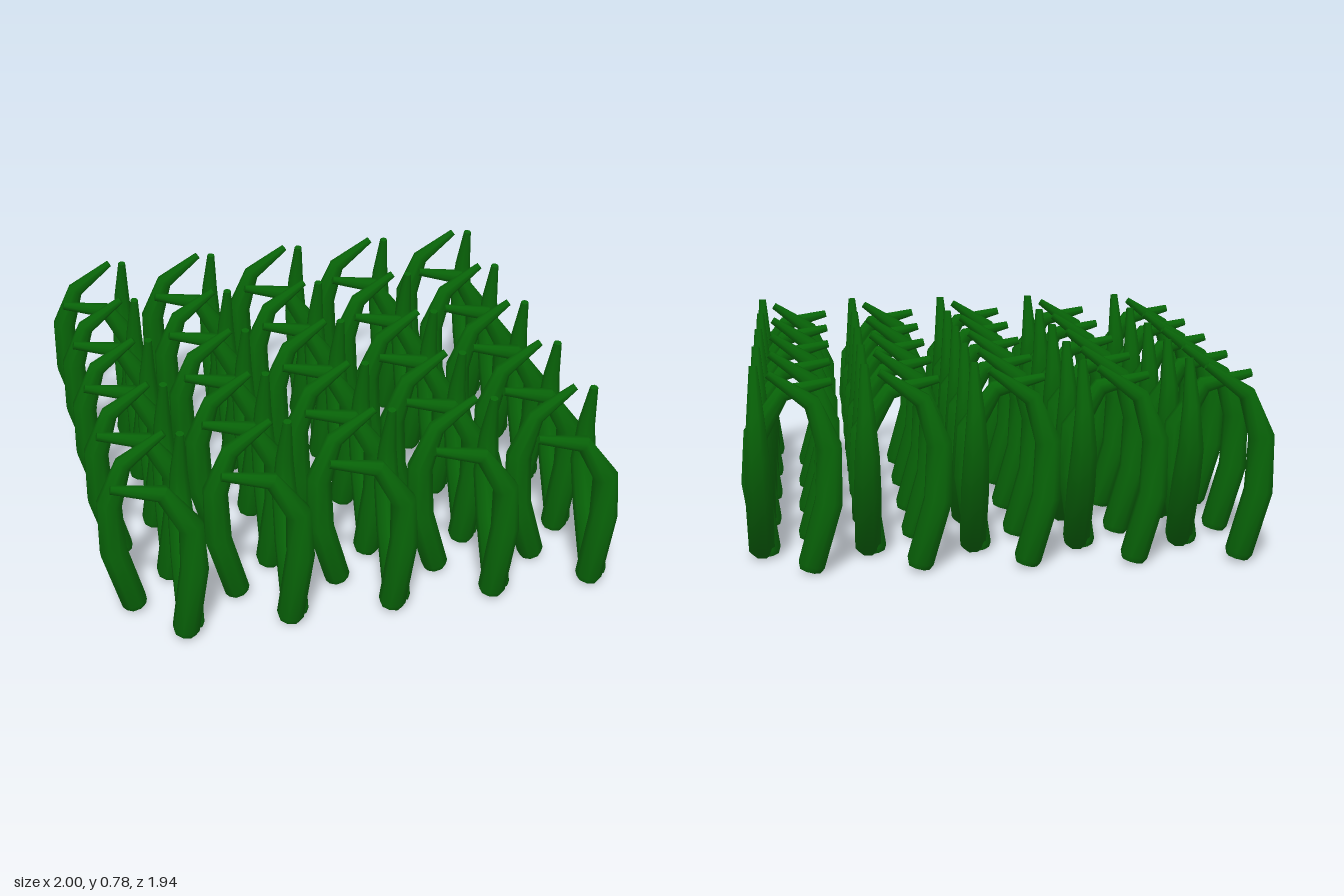
import * as THREE from 'three';
import { toCreasedNormals } from 'three/addons/utils/BufferGeometryUtils.js';

const SIDES = 8;

// Tapered blade swept along a bent path; each station is [x, y, z, radius].
// `across` is the fixed axis perpendicular to the plane of the bend.
function bladeGeometry(stations, across) {
  const pts = stations.map(([x, y, z]) => new THREE.Vector3(x, y, z));
  const last = pts.length - 1;
  const pos = [], index = [];
  pts.forEach((p, i) => {
    const tangent = new THREE.Vector3();
    if (i > 0) tangent.add(p.clone().sub(pts[i - 1]).normalize());
    if (i < last) tangent.add(pts[i + 1].clone().sub(p).normalize());
    tangent.normalize();
    const side = new THREE.Vector3().crossVectors(across, tangent);
    for (let k = 0; k < SIDES; k++) {
      const a = ((k + 0.5) / SIDES) * Math.PI * 2;
      const r = stations[i][3];
      const v = p.clone()
        .addScaledVector(side, Math.cos(a) * r)
        .addScaledVector(across, Math.sin(a) * r);
      pos.push(v.x, v.y, v.z);
    }
  });
  // Outer skin
  for (let i = 0; i < last; i++) {
    for (let k = 0; k < SIDES; k++) {
      const n = (k + 1) % SIDES;
      const a = i * SIDES + k, b = i * SIDES + n;
      index.push(a, b, b + SIDES, a, b + SIDES, a + SIDES);
    }
  }
  // End caps
  const base = pos.length / 3;
  pos.push(...pts[0].toArray(), ...pts[last].toArray());
  for (let k = 0; k < SIDES; k++) {
    const n = (k + 1) % SIDES;
    index.push(base, n, k);
    index.push(base + 1, last * SIDES + k, last * SIDES + n);
  }
  const g = new THREE.BufferGeometry();
  g.setAttribute('position', new THREE.Float32BufferAttribute(pos, 3));
  g.setIndex(index);
  return toCreasedNormals(g, 1.0);
}

export function createModel() {
  const green = new THREE.MeshStandardMaterial({ color: 0x086408 });
  const X = new THREE.Vector3(1, 0, 0);
  const Z = new THREE.Vector3(0, 0, 1);

  // Three blades of one clump, bending right, left and forward
  const blades = {
    backBlade: bladeGeometry([
      [-0.062, 0.02, -0.115, 0.042], [-0.068, 0.042, -0.115, 0.053],
      [-0.136, 0.28, -0.115, 0.055], [-0.141, 0.49, -0.115, 0.05],
      [-0.08, 0.655, -0.115, 0.034], [0.078, 0.765, -0.12, 0.015],
    ], Z),
    frontBlade: bladeGeometry([
      [0.095, 0.018, 0.11, 0.042], [0.099, 0.04, 0.11, 0.053],
      [0.14, 0.31, 0.11, 0.055], [0.133, 0.49, 0.11, 0.05],
      [0.03, 0.645, 0.115, 0.034], [-0.157, 0.688, 0.12, 0.016],
    ], Z),
    crossBlade: bladeGeometry([
      [0.12, 0.032, 0.11, 0.042], [0.12, 0.05, 0.097, 0.053],
      [0.122, 0.29, -0.02, 0.055], [0.124, 0.45, -0.098, 0.049],
      [0.126, 0.61, -0.098, 0.034], [0.13, 0.785, -0.062, 0.016],
    ], X),
  };

  // Five by five field of clumps
  const model = new THREE.Group();
  model.name = 'grassField';
  for (let row = -2; row <= 2; row++) {
    for (let col = -2; col <= 2; col++) {
      const clump = new THREE.Group();
      clump.name = 'grassClump';
      clump.position.set(col * 0.405, 0, row * 0.403);
      for (const [name, geometry] of Object.entries(blades)) {
        const mesh = new THREE.Mesh(geometry, green);
        mesh.name = name;
        clump.add(mesh);
      }
      model.add(clump);
    }
  }
  return model;
}
